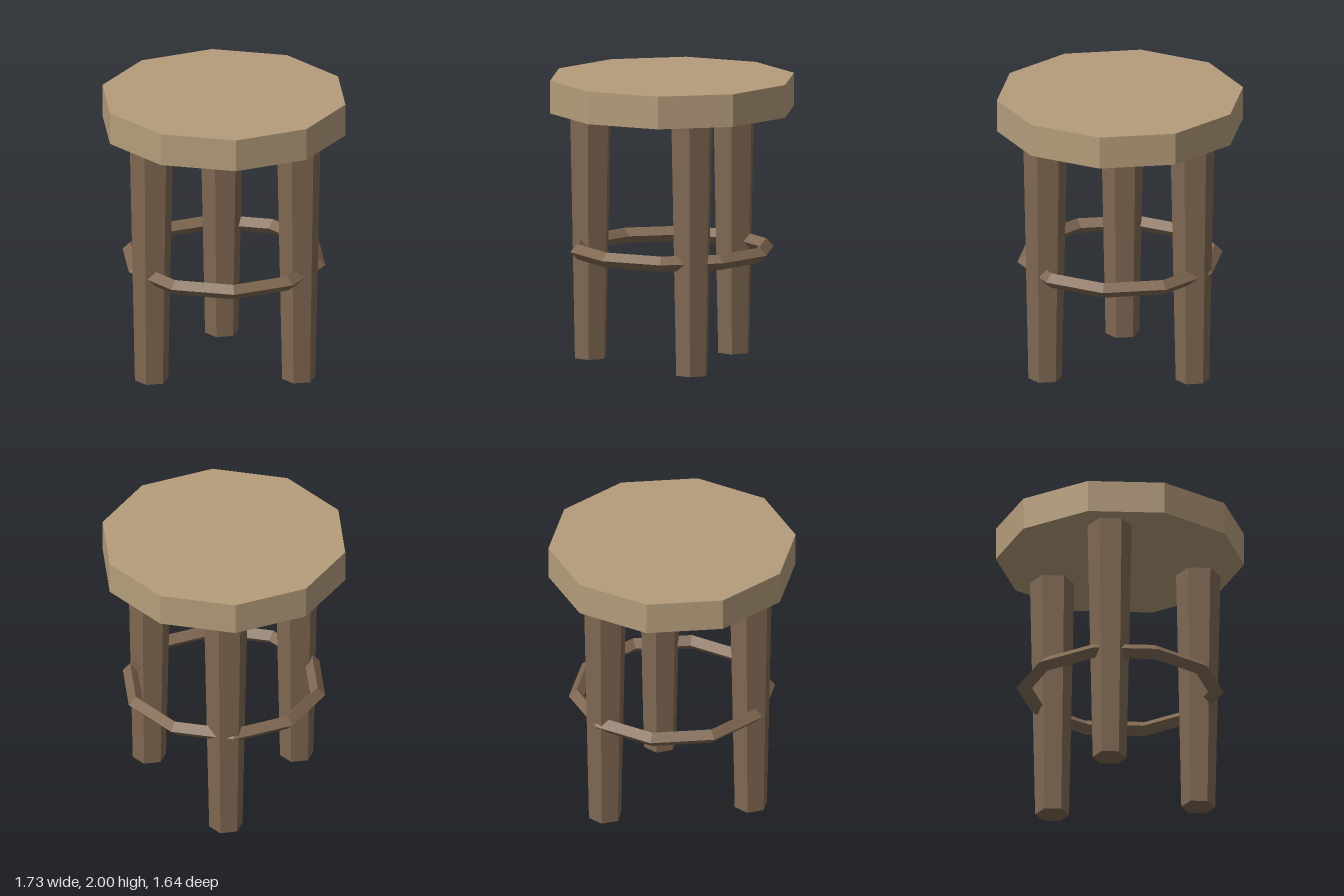
import * as THREE from 'three';

export function createModel() {
  const stool = new THREE.Group();
  stool.name = 'stool';

  const paleWood = new THREE.MeshStandardMaterial({ color: 0xb59d7b, flatShading: true });
  paleWood.name = 'pale wood';
  const darkWood = new THREE.MeshStandardMaterial({ color: 0x806852, flatShading: true });
  darkWood.name = 'dark wood';

  const add = (name, geometry, material, x, y, z) => {
    const mesh = new THREE.Mesh(geometry, material);
    mesh.name = name;
    mesh.position.set(x, y, z);
    stool.add(mesh);
  };

  // Ten-sided seat slab with corners on the x axis
  const seatBottom = 1.77;
  const seatHeight = 2 - seatBottom;
  const seat = new THREE.CylinderGeometry(0.863, 0.863, seatHeight, 10).rotateY(Math.PI / 2);
  add('seat', seat, paleWood, 0, seatBottom + seatHeight / 2, 0);

  // Three upright hexagonal legs, tapering towards the floor
  const leg = new THREE.CylinderGeometry(0.154, 0.118, seatBottom, 6).rotateY(Math.PI / 2);
  ['frontLeg', 'backRightLeg', 'backLeftLeg'].forEach((name, i) => {
    const angle = THREE.MathUtils.degToRad(100 + i * 120);
    add(name, leg, darkWood, 0.59 * Math.cos(angle), seatBottom / 2, 0.59 * Math.sin(angle));
  });

  // Ten-sided foot ring with a diamond cross-section, running through the legs
  const ring = new THREE.TorusGeometry(0.666, 0.054, 4, 10).rotateX(Math.PI / 2);
  add('footRing', ring, darkWood, 0, 0.79, 0);

  return stool;
}
